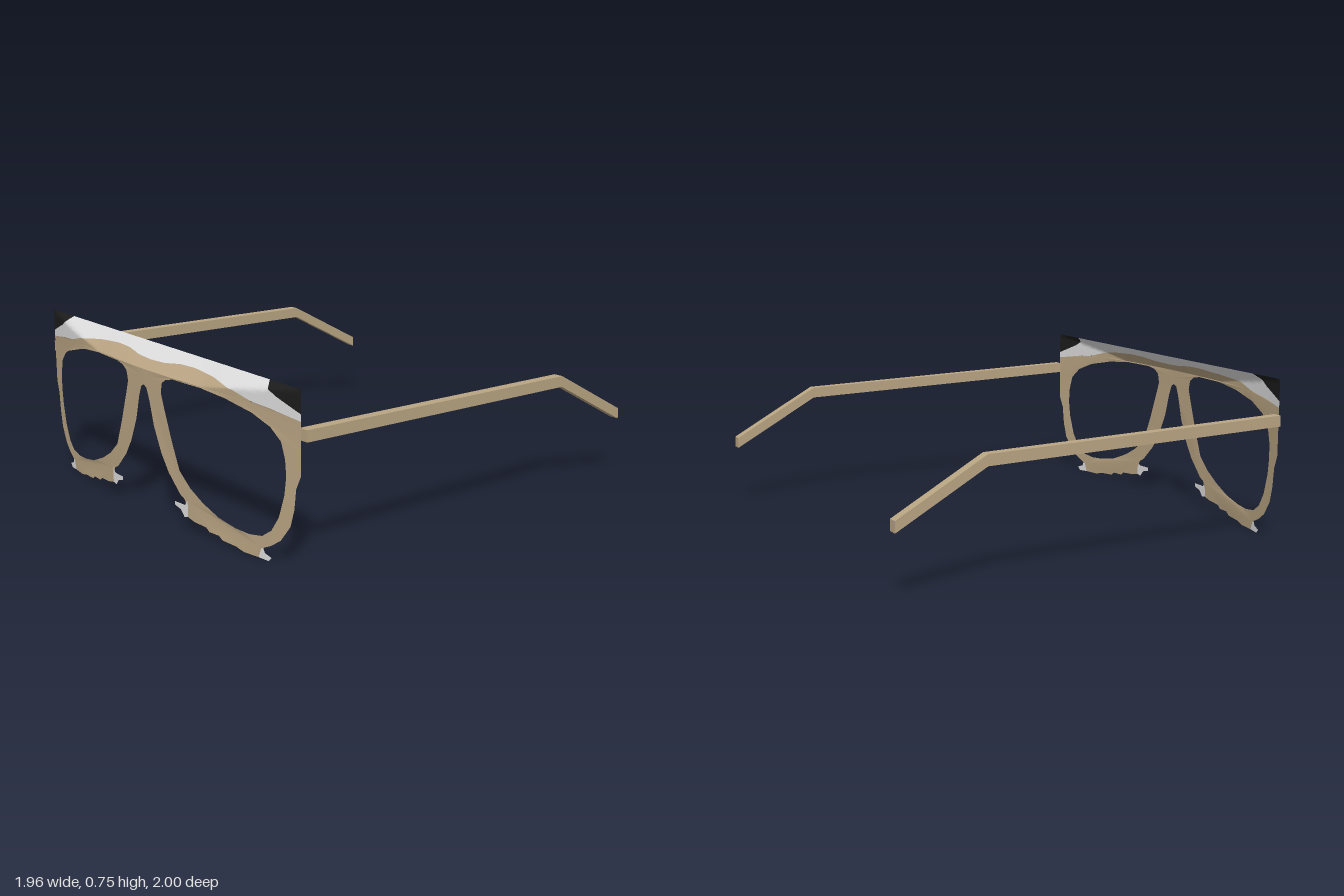
import * as THREE from 'three';

const mat = (name, color) => {
  const m = new THREE.MeshStandardMaterial({ color, side: THREE.DoubleSide });
  m.name = name;
  return m;
};

// Piecewise-linear function through [x, y] knots
const lerpThrough = (knots) => (x) => {
  for (let i = 1; i < knots.length; i++) {
    const [x0, y0] = knots[i - 1], [x1, y1] = knots[i];
    if (x <= x1) return y0 + (y1 - y0) * (x - x0) / (x1 - x0);
  }
  return knots[knots.length - 1][1];
};

const TOP = 0.75, BACK = 0.895, EDGE = 0.955;
const ridge = lerpThrough([[0, 0.66], [0.4, 0.66], [0.8, 0.725], [EDGE, 0.745]]);
const frameTop = lerpThrough([[0, 0.66], [0.6, 0.66], [0.7, 0.655], [0.8, 0.645], [EDGE, 0.62]]);
const paintLine = lerpThrough([[0, 0.695], [0.1, 0.698], [0.2, 0.71], [0.3, 0.712], [0.45, 0.702],
  [0.6, 0.682], [0.7, 0.655], [0.8, 0.645], [EDGE, 0.62]]);
const cornerLine = lerpThrough([[0, TOP], [0.76, TOP], [0.79, 0.722], [0.83, 0.7], [EDGE, 0.65]]);

// Wrapped front; above the ridge it leans back to a straight top edge
function depth(x, y) {
  const curve = 1 - (1 - BACK) * (x / EDGE) ** 2;
  const t = THREE.MathUtils.clamp((y - ridge(x)) / (TOP - ridge(x)), 0, 1);
  return curve + (BACK - curve) * t;
}

function wrap(geometry) {
  const p = geometry.attributes.position;
  for (let i = 0; i < p.count; i++) p.setZ(i, depth(p.getX(i), p.getY(i)));
  geometry.computeVertexNormals();
  return geometry;
}

// Split long outline edges so that the sheet can bend
function densify(points) {
  const out = [];
  points.forEach(([x, y], i) => {
    const [u, v] = points[(i + 1) % points.length];
    const n = Math.max(1, Math.ceil(Math.hypot(u - x, v - y) / 0.04));
    for (let k = 0; k < n; k++) out.push(new THREE.Vector2(x + (u - x) * k / n, y + (v - y) * k / n));
  });
  return out;
}

function sheet(outline, hole) {
  const shape = new THREE.Shape(densify(outline));
  if (hole) shape.holes.push(new THREE.Path(densify(hole)));
  return wrap(new THREE.ShapeGeometry(shape));
}

// Sheet between two height curves
function band(x0, x1, low, high) {
  const g = new THREE.PlaneGeometry(1, 1, 32, 6);
  const p = g.attributes.position;
  for (let i = 0; i < p.count; i++) {
    const x = x0 + (x1 - x0) * (p.getX(i) + 0.5);
    p.setXY(i, x, low(x) + (high(x) - low(x)) * (p.getY(i) + 0.5));
  }
  return wrap(g);
}

export function createModel() {
  const tan = mat('tan', 0xbaa583);
  const white = mat('lightGrey', 0xdedede);
  const black = mat('black', 0x1c1c1c);
  const model = new THREE.Group();
  model.name = 'glasses';

  const add = (group, name, geometry, material) => {
    const m = new THREE.Mesh(geometry, material);
    m.name = name;
    group.add(m);
  };

  // Half of the rim: nose arch, ragged bottom, outer side, top
  const outline = [[0, 0.59], [0.02, 0.58], [0.04, 0.53], [0.07, 0.42], [0.12, 0.31], [0.17, 0.235],
    [0.25, 0.155], [0.28, 0.14], [0.3, 0.1], [0.3, 0.065], [0.34, 0.055], [0.42, 0.05], [0.44, 0.035],
    [0.5, 0.035], [0.52, 0.02], [0.6, 0.015], [0.65, 0.003], [0.73, 0.003], [0.745, 0.045], [0.8, 0.07],
    [0.85, 0.105], [0.9, 0.175], [0.92, 0.25], [0.93, 0.34], [EDGE, 0.4]];
  for (const x of [EDGE, 0.8, 0.7, 0.6, 0]) outline.push([x, frameTop(x)]);

  const lensHole = [[0.13, 0.58], [0.14, 0.625], [0.17, 0.645], [0.22, 0.655], [0.4, 0.655], [0.55, 0.64],
    [0.7, 0.61], [0.8, 0.57], [0.855, 0.52], [0.875, 0.45], [0.88, 0.38], [0.87, 0.3], [0.84, 0.2],
    [0.8, 0.135], [0.75, 0.1], [0.68, 0.09], [0.6, 0.095], [0.5, 0.115], [0.4, 0.155], [0.32, 0.2],
    [0.25, 0.26], [0.2, 0.38], [0.15, 0.52]];

  // Temple arm in side profile, with a bent tip
  const armShape = new THREE.Shape([[-0.885, 0.54], [0.59, 0.51], [1, 0.285], [1, 0.335],
    [0.59, 0.56], [-0.885, 0.59]].map(([x, y]) => new THREE.Vector2(x, y)));

  for (const side of [1, -1]) {
    const half = new THREE.Group();
    half.name = side > 0 ? 'leftHalf' : 'rightHalf';
    half.scale.x = side;

    add(half, 'rim', sheet(outline, lensHole), tan);
    add(half, 'browLower', band(0, 0.7, frameTop, paintLine), tan);
    add(half, 'browUpper', band(0, 0.76, paintLine, () => TOP), white);
    add(half, 'browEnd', band(0.76, EDGE, paintLine, cornerLine), white);
    add(half, 'browCorner', band(0.76, EDGE, cornerLine, () => TOP), black);

    // Small pale tabs under the rim
    add(half, 'innerTab', sheet([[0.3, 0.14], [0.28, 0.115], [0.21, 0.115], [0.21, 0.098],
      [0.25, 0.088], [0.275, 0.06], [0.3, 0.065]]), white);
    add(half, 'outerTab', sheet([[0.73, 0.003], [0.785, 0], [0.8, 0.018], [0.765, 0.03],
      [0.755, 0.05], [0.745, 0.045]]), white);

    const arm = new THREE.ExtrudeGeometry(armShape, { depth: 0.045, bevelEnabled: false });
    arm.rotateY(-Math.PI / 2);
    // Profile runs along z with the tip at the back
    arm.rotateY(Math.PI);
    arm.translate(0.935, 0, 0);
    add(half, 'templeArm', arm, tan);
    model.add(half);
  }
  return model;
}
